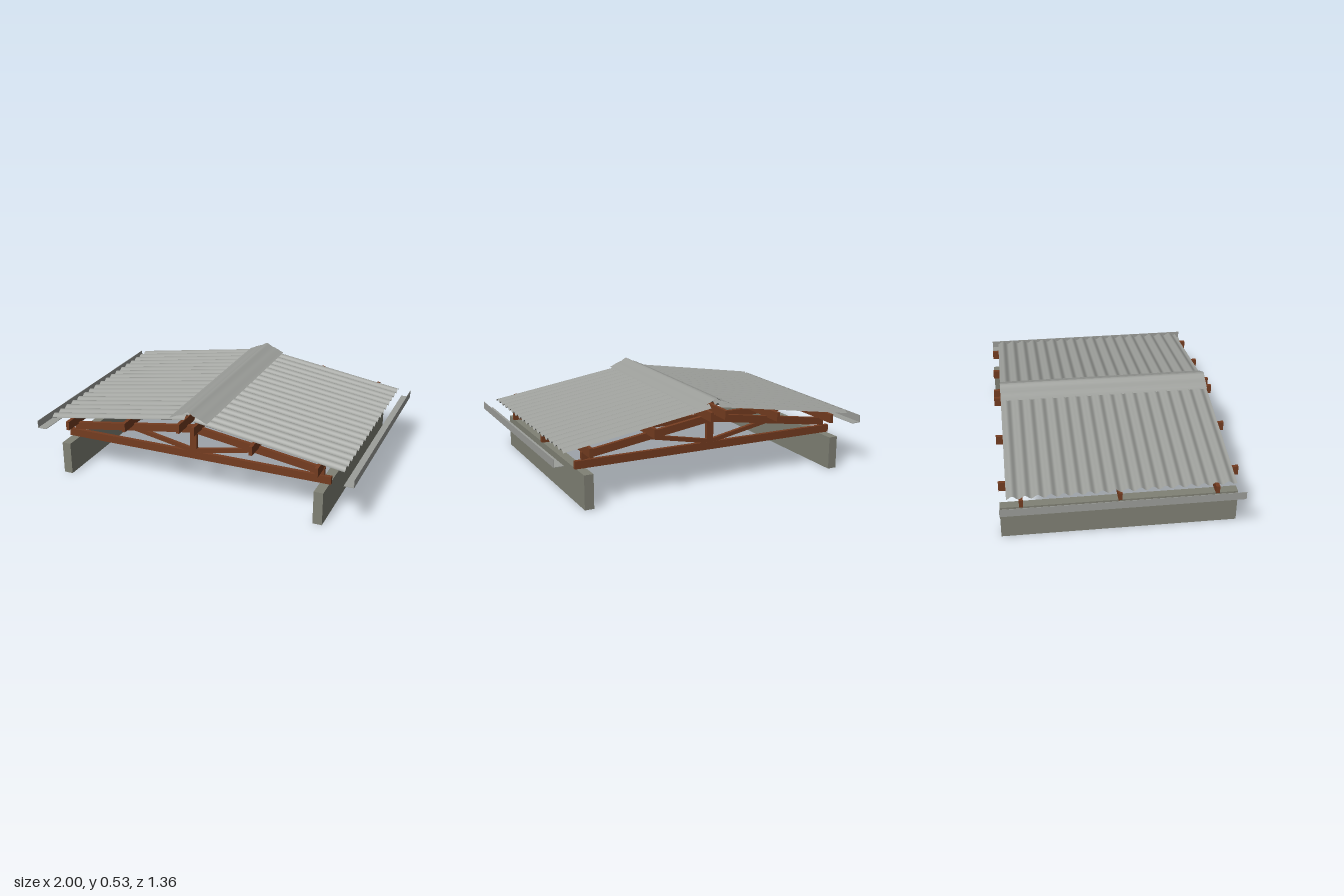
import * as THREE from 'three';

const mat = (name, color, side = THREE.FrontSide) => {
  const m = new THREE.MeshStandardMaterial({ color, side });
  m.name = name;
  return m;
};

export function createModel() {
  const root = new THREE.Group();
  root.name = 'trussRoof';
  const wood = mat('brown timber', 0x743c20);
  const concrete = mat('grey concrete', 0x808175);
  const steel = mat('galvanised steel', 0x9c9e9a, THREE.DoubleSide);

  const add = (parent, name, geo, material, x = 0, y = 0, z = 0) => {
    const mesh = new THREE.Mesh(geo, material);
    mesh.name = name;
    mesh.position.set(x, y, z);
    parent.add(mesh);
    return mesh;
  };
  const box = (parent, name, m, w, h, d, x, y, z) =>
    add(parent, name, new THREE.BoxGeometry(w, h, d), m, x, y, z);

  // Sloping timber with plumb-cut ends, given by its bottom line and depth
  const slopingBeam = (parent, name, s, x0, y0, x1, y1, depth, thick) => {
    const shape = new THREE.Shape([
      new THREE.Vector2(s * x0, y0), new THREE.Vector2(s * x1, y1),
      new THREE.Vector2(s * x1, y1 + depth), new THREE.Vector2(s * x0, y0 + depth),
    ]);
    const geo = new THREE.ExtrudeGeometry(shape, { depth: thick, bevelEnabled: false });
    geo.translate(0, 0, -thick / 2);
    return add(parent, name, geo, wood);
  };

  // Supporting walls
  for (const s of [-1, 1]) {
    box(root, s > 0 ? 'leftWall' : 'rightWall', concrete, 0.055, 0.2, 1.36, s * 0.803, 0.1, 0);
  }

  // Three king-post trusses
  for (const z of [-0.56, 0, 0.56]) {
    const truss = new THREE.Group();
    truss.name = 'truss';
    truss.position.z = z;
    box(truss, 'tieBeam', wood, 1.68, 0.046, 0.023, 0, 0.225, 0);
    box(truss, 'kingPost', wood, 0.042, 0.14, 0.023, 0, 0.315, 0);
    for (const s of [-1, 1]) {
      slopingBeam(truss, 'rafter', s, 0.8, 0.25, 0, 0.37, 0.045, 0.023);
      slopingBeam(truss, 'strut', s, 0.02, 0.242, 0.41, 0.318, 0.025, 0.021);
    }
    root.add(truss);
  }

  // Purlins running along the roof
  for (const s of [-1, 1]) {
    for (const [x, top] of [[0.785, 0.345], [0.4, 0.402], [0.047, 0.456]]) {
      box(root, 'purlin', wood, 0.02, 0.054, 1.36, s * x, top - 0.027, 0);
    }
  }

  // Corrugated sheets: a grid whose height follows the slope plus a wave in z
  const wave = 0.0706, amp = 0.0095, x0 = 0.03, x1 = 0.93, halfZ = 0.64;
  for (const s of [-1, 1]) {
    const geo = new THREE.PlaneGeometry(x1 - x0, 2 * halfZ, 1, 216);
    geo.rotateX(-Math.PI / 2);
    geo.translate(s * (x0 + x1) / 2, 0, 0);
    const p = geo.attributes.position;
    for (let i = 0; i < p.count; i++) {
      const ripple = Math.cos((p.getZ(i) + 0.608) / wave * Math.PI * 2);
      p.setY(i, 0.483 - 0.158 * Math.abs(p.getX(i)) + amp * ripple);
    }
    geo.computeVertexNormals();
    add(root, s > 0 ? 'leftRoofSheet' : 'rightRoofSheet', geo, steel);
  }

  // Ridge cap: bell-shaped section swept along the ridge
  const half = [[0.12, 0.472], [0.1, 0.479], [0.08, 0.49], [0.06, 0.498], [0.035, 0.506], [0.015, 0.519], [0, 0.526]];
  const profile = [
    ...half.map(([x, y]) => [-x, y]),
    ...half.slice(0, -1).reverse(),
  ];
  const cap = new THREE.PlaneGeometry(1, 2 * halfZ, profile.length - 1, 1);
  cap.rotateX(-Math.PI / 2);
  const cp = cap.attributes.position;
  for (let i = 0; i < cp.count; i++) {
    const [x, y] = profile[i % profile.length];
    cp.setXY(i, x, y);
  }
  cap.computeVertexNormals();
  add(root, 'ridgeCap', cap, steel);

  // Eaves gutters: floor plate and outer lip
  for (const s of [-1, 1]) {
    const gutter = new THREE.Group();
    gutter.name = s > 0 ? 'leftGutter' : 'rightGutter';
    box(gutter, 'gutterFloor', steel, 0.058, 0.003, 1.36, s * 0.971, 0.2695, 0);
    box(gutter, 'gutterLip', steel, 0.003, 0.047, 1.36, s * 0.9985, 0.2915, 0);
    root.add(gutter);
  }
  return root;
}
